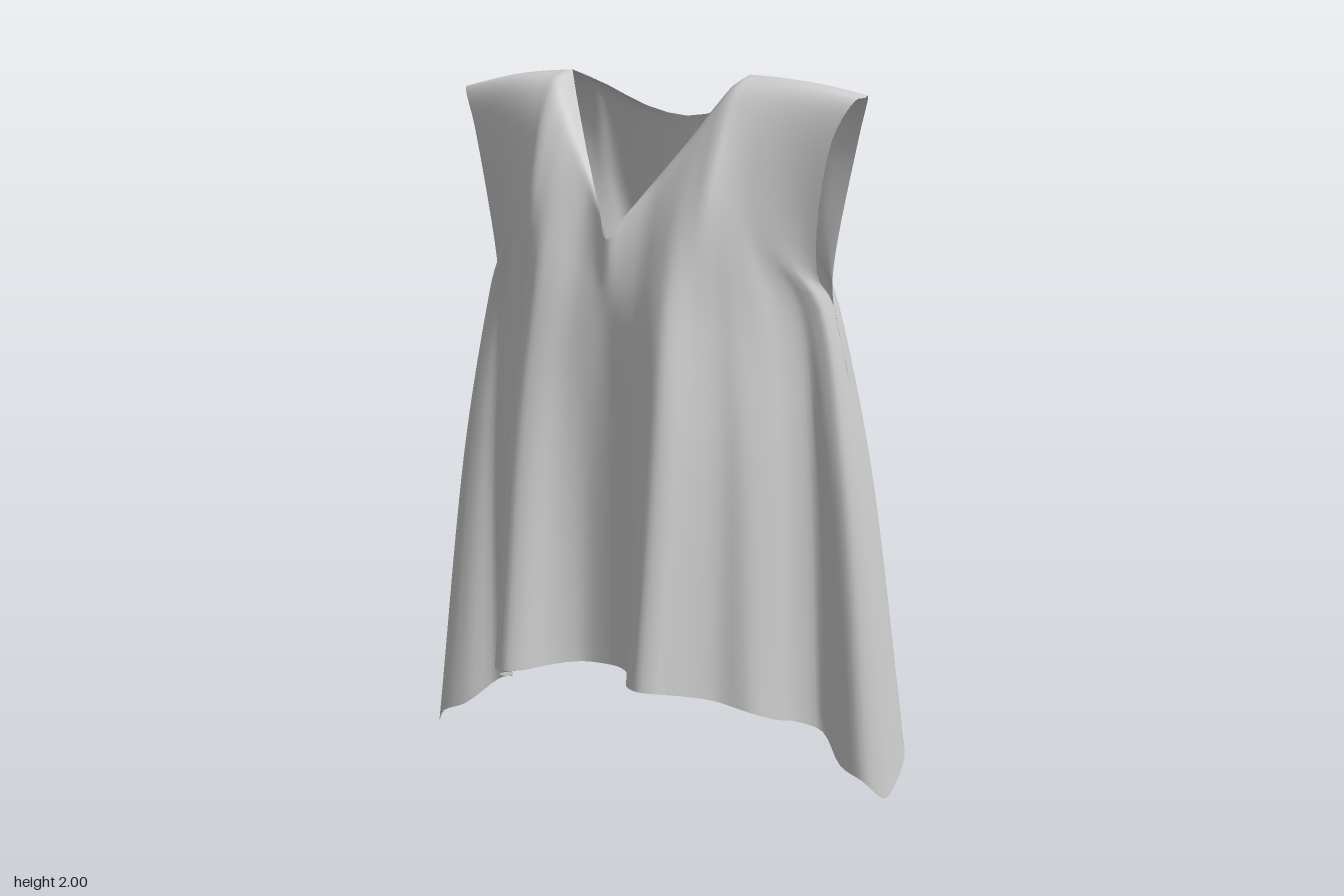
import * as THREE from 'three';
import { mergeVertices } from 'three/addons/utils/BufferGeometryUtils.js';

const V = (a) => new THREE.Vector3(...a);
const HALF = 15;        // control columns from side seam (0) to centre (15)
const NECK = 9;         // column where the shoulder meets the neckline
const ACROSS = 4;       // samples per control column
const DOWN = [4, 4, 6, 4, 7, 14]; // samples per control row span
const CHEST_ROW = DOWN.slice(0, 4).reduce((a, b) => a + b);
const FALL = [0, 0.04, 0.16, 0.55]; // how far each upper row lies between neck and chest

// Each panel: armhole profile (shoulder downwards), neckline from its shoulder
// corner, chest section [x, z] at y = 1.38 and hem [x, y, z], all side to centre.
// round: how far each upper row has come forward at the shoulder corner.
// shift: offset of the inner folds; lean: offset of the corner fold on the right.
const FRONT = {
  arm: [[0.61, 1.945, -0.05], [0.6, 1.94, -0.005], [0.55, 1.835, 0.033], [0.502, 1.475, 0.005]],
  neck: [[0.275, 1.998, -0.05], [0.225, 1.93, 0.02], [0.18, 1.856, 0.075], [0.135, 1.785, 0.13],
    [0.09, 1.713, 0.18], [0.045, 1.642, 0.23], [0, 1.57, 0.275]],
  round: [0, 0.32, 0.54, 0.88],
  chest: [[0.53, -0.05], [0.525, -0.01], [0.515, 0.01], [0.49, 0.02], [0.46, 0.03], [0.42, 0.07],
    [0.385, 0.13], [0.34, 0.18], [0.3, 0.215], [0.265, 0.26], [0.235, 0.305], [0.2, 0.33],
    [0.16, 0.325], [0.1, 0.3], [0.05, 0.29], [0, 0.285]],
  hem: [[0.745, 0.05, -0.08], [0.73, 0, 0], [0.68, 0.06, 0.05], [0.61, 0.09, 0.04],
    [0.53, 0.16, -0.02], [0.47, 0.2, 0.04], [0.45, 0.23, 0.13], [0.41, 0.27, 0.215],
    [0.32, 0.305, 0.26], [0.262, 0.345, 0.37], [0.252, 0.38, 0.475], [0.205, 0.39, 0.508],
    [0.16, 0.39, 0.48], [0.12, 0.385, 0.385], [0.06, 0.385, 0.325], [0, 0.385, 0.315]],
  shift: 0,
  lean: 0.025,
};
const BACK = {
  arm: [[0.61, 1.945, -0.05], [0.6, 1.945, -0.1], [0.55, 1.835, -0.17], [0.502, 1.48, -0.118]],
  neck: [[0.275, 1.998, -0.05], [0.25, 1.975, -0.11], [0.215, 1.95, -0.155], [0.17, 1.917, -0.195],
    [0.12, 1.89, -0.22], [0.06, 1.872, -0.23], [0, 1.865, -0.23]],
  round: [0, 0.38, 0.6, 0.87],
  chest: [[0.53, -0.05], [0.53, -0.08], [0.515, -0.12], [0.495, -0.145], [0.46, -0.15], [0.42, -0.16],
    [0.385, -0.18], [0.34, -0.21], [0.3, -0.24], [0.27, -0.28], [0.24, -0.32], [0.21, -0.335],
    [0.17, -0.33], [0.11, -0.3], [0.05, -0.29], [0, -0.285]],
  hem: [[0.745, 0.05, -0.08], [0.735, 0.09, -0.14], [0.69, 0.13, -0.205], [0.62, 0.14, -0.21],
    [0.56, 0.19, -0.13], [0.47, 0.24, -0.13], [0.4, 0.27, -0.18], [0.33, 0.285, -0.22],
    [0.28, 0.3, -0.27], [0.268, 0.34, -0.38], [0.27, 0.365, -0.48], [0.227, 0.37, -0.51],
    [0.18, 0.37, -0.485], [0.137, 0.36, -0.38], [0.07, 0.355, -0.31], [0, 0.355, -0.3]],
  shift: 0.065,
  lean: 0,
};

// Point of an upper row on a column under the neckline: rounded over the
// shoulder corner, straight at the centre.
function underNeck(p, k, r) {
  const top = V(p.neck[k - NECK]);
  const v = top.clone().lerp(V([p.chest[k][0], 1.38, p.chest[k][1]]), FALL[r]);
  const t = ((k - NECK) / (HALF - NECK)) ** 0.7;
  const g = THREE.MathUtils.lerp(p.round[r], FALL[r], t);
  v.z = THREE.MathUtils.lerp(top.z, p.chest[k][1], g);
  return v;
}

// Point of an upper row on the shoulder, slightly arched between arm and neck.
function onShoulder(p, k, r) {
  const t = k / NECK;
  const v = V(p.arm[r]).lerp(underNeck(p, NECK, r), t);
  v.y += 0.012 * Math.sin(Math.PI * t) * (1 - FALL[r]);
  return v;
}

// Control points of one column, from the shoulder or neckline to the hem.
function column(p, k, side) {
  const chest = V([p.chest[k][0], 1.38, p.chest[k][1]]);
  const hem = V(p.hem[k]);
  if (side < 0 && k > 4 && k < NECK) hem.x -= p.lean;
  const pts = FALL.map((_, r) => (k < NECK ? onShoulder(p, k, r) : underNeck(p, k, r)));
  // slight outward belly below the chest
  const belly = chest.clone().lerp(hem, 0.35).multiply(V([1.04, 1, 1.03]));
  pts.push(chest, belly, hem);
  pts.forEach((v) => { v.x *= side; });
  const w = p.shift * THREE.MathUtils.clamp((k - 5) / 4, 0, 1);
  chest.x += w * 0.5;
  belly.x += w * 0.7;
  hem.x += w;
  return pts;
}

// Grid of points: rows run from the top edge to the hem, columns from +x to -x.
function panelGrid(p) {
  const columns = [];
  for (let k = 0; k <= HALF * 2; k++) {
    const pts = k <= HALF ? column(p, k, 1) : column(p, HALF * 2 - k, -1);
    const curve = new THREE.CatmullRomCurve3(pts);
    const line = [];
    DOWN.forEach((n, s) => {
      for (let i = 0; i < n; i++) line.push(curve.getPoint((s + i / n) / DOWN.length));
    });
    line.push(pts[pts.length - 1]);
    columns.push(line);
  }
  return columns[0].map((_, r) => {
    const ctrl = columns.map((c) => c[r]);
    const curve = new THREE.CatmullRomCurve3(ctrl);
    const row = [];
    for (let i = 0; i <= HALF * 2 * ACROSS; i++) {
      const s = Math.floor(i / ACROSS);
      // the top edge stays straight between points to keep the neckline crisp
      row.push(r === 0 && s < HALF * 2
        ? ctrl[s].clone().lerp(ctrl[s + 1], (i % ACROSS) / ACROSS)
        : curve.getPoint(i / (HALF * 2 * ACROSS)));
    }
    return row;
  });
}

export function createModel() {
  const front = panelGrid(FRONT);
  const back = panelGrid(BACK);
  const last = front[0].length - 1;

  // close the side seams below the armholes
  for (let r = CHEST_ROW; r < front.length; r++) {
    for (const c of [0, last]) {
      front[r][c].lerp(back[r][c], 0.5);
      back[r][c].copy(front[r][c]);
    }
  }

  const positions = [];
  const index = [];
  [front, back].forEach((grid, which) => {
    const base = positions.length / 3;
    const width = last + 1;
    grid.forEach((row) => row.forEach((v) => positions.push(v.x, v.y, v.z)));
    for (let r = 0; r < grid.length - 1; r++) {
      for (let c = 0; c < last; c++) {
        const a = base + r * width + c, b = a + 1, d = a + width, e = d + 1;
        if (which === 0) index.push(a, b, d, b, e, d);
        else index.push(a, d, b, b, d, e);
      }
    }
  });

  // weld shoulders and side seams into one smooth cloth
  let geometry = new THREE.BufferGeometry();
  geometry.setAttribute('position', new THREE.Float32BufferAttribute(positions, 3));
  geometry.setIndex(index);
  geometry = mergeVertices(geometry, 1e-4);
  geometry.computeVertexNormals();

  const cloth = new THREE.Mesh(geometry, new THREE.MeshStandardMaterial({
    color: 0xcccccc, side: THREE.DoubleSide,
  }));
  cloth.name = 'drapedTop';
  const group = new THREE.Group();
  group.name = 'sleevelessTop';
  group.add(cloth);
  return group;
}
